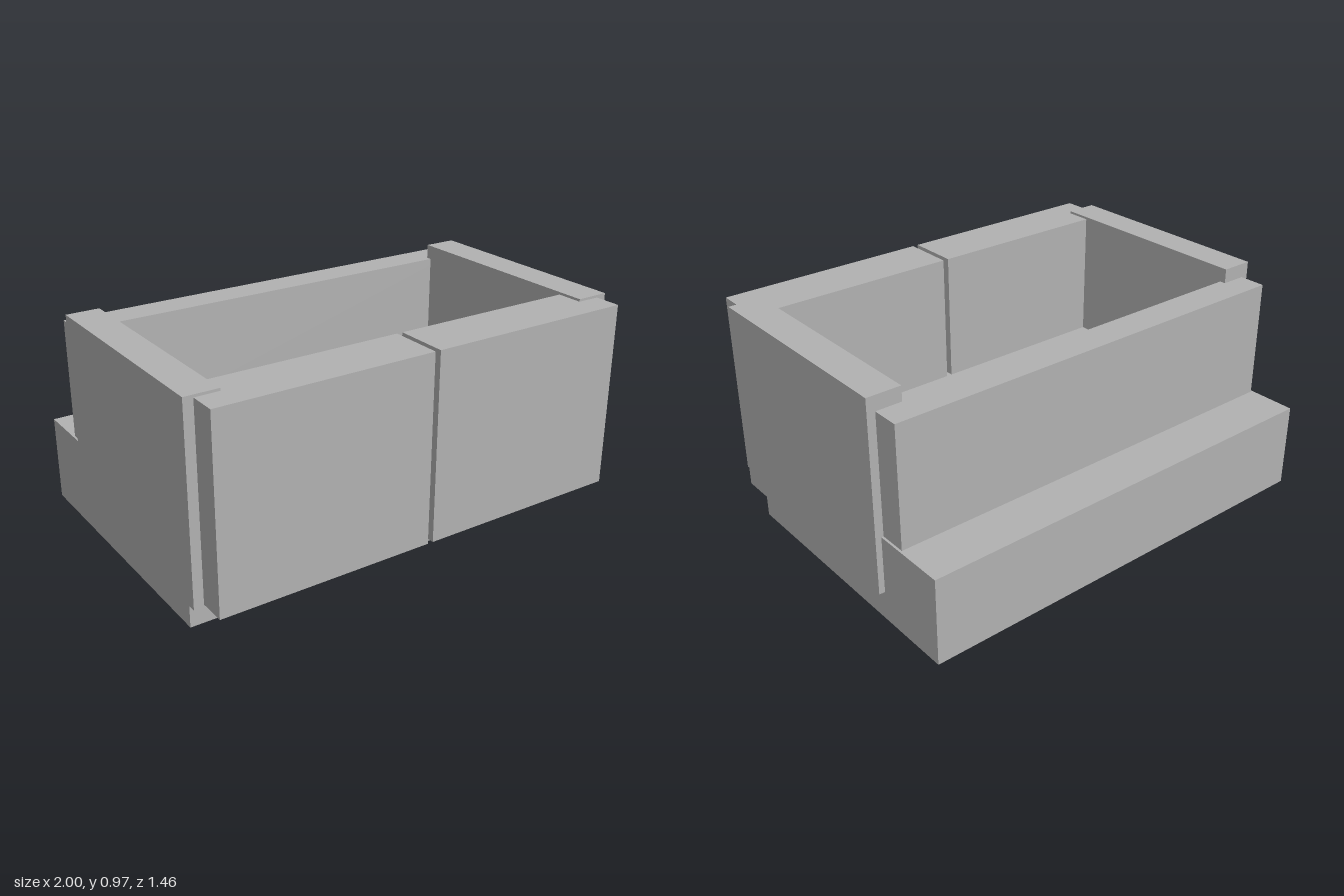
import * as THREE from 'three';

export function createModel() {
  const group = new THREE.Group();
  const grey = new THREE.MeshStandardMaterial({ color: 0xb2b2b2 });
  grey.name = 'grey';

  // Adds a box given by its extents along each axis
  function addBox(name, [x0, x1], [y0, y1], [z0, z1]) {
    const mesh = new THREE.Mesh(new THREE.BoxGeometry(x1 - x0, y1 - y0, z1 - z0), grey);
    mesh.position.set((x0 + x1) / 2, (y0 + y1) / 2, (z0 + z1) / 2);
    mesh.name = name;
    group.add(mesh);
  }

  // Solid base, extending behind the back panel as a ledge
  addBox('base', [-0.977, 0.974], [0, 0.381], [-0.732, 0.53]);

  // Back panel standing on the base
  addBox('backPanel', [-0.967, 0.964], [0.381, 0.907], [-0.515, -0.371]);

  // Side panels, overhanging the base slightly
  addBox('leftSide', [0.851, 1], [0.13, 0.971], [-0.397, 0.614]);
  addBox('rightSide', [-1, -0.855], [0.13, 0.971], [-0.397, 0.614]);

  // Two front panels with a narrow gap between them
  addBox('leftFrontPanel', [0.011, 0.953], [0.141, 0.96], [0.497, 0.732]);
  addBox('rightFrontPanel', [-0.958, -0.014], [0.141, 0.96], [0.497, 0.732]);

  return group;
}
